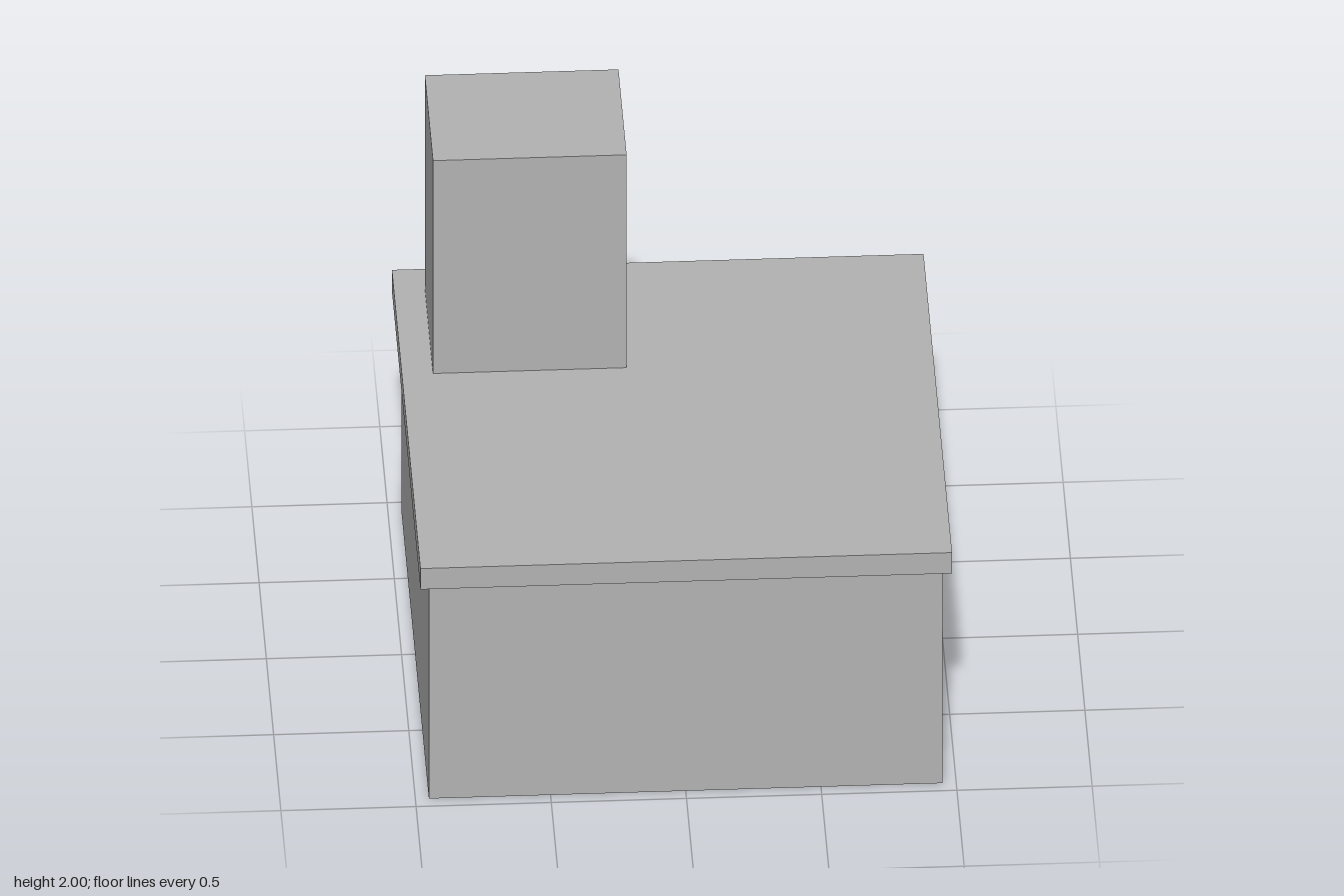
import * as THREE from 'three';

export function createModel() {
  const model = new THREE.Group();
  model.name = 'blockBuilding';

  const grey = new THREE.MeshStandardMaterial({ color: 0xb2b2b2 });
  grey.name = 'plain grey';

  // Box given by its extents on each axis
  function block(name, [x0, x1], [y0, y1], [z0, z1]) {
    const mesh = new THREE.Mesh(new THREE.BoxGeometry(x1 - x0, y1 - y0, z1 - z0), grey);
    mesh.position.set((x0 + x1) / 2, (y0 + y1) / 2, (z0 + z1) / 2);
    mesh.name = name;
    model.add(mesh);
  }

  // Main body
  block('base', [-0.95, 0.95], [0, 0.957], [-0.95, 0.95]);
  // Overhanging slab on top of the body
  block('topSlab', [-0.983, 0.983], [0.957, 1.05], [-0.983, 0.983]);
  // Upright block near the back corner
  block('tower', [-0.868, -0.152], [1.05, 2], [-0.857, -0.295]);

  return model;
}
